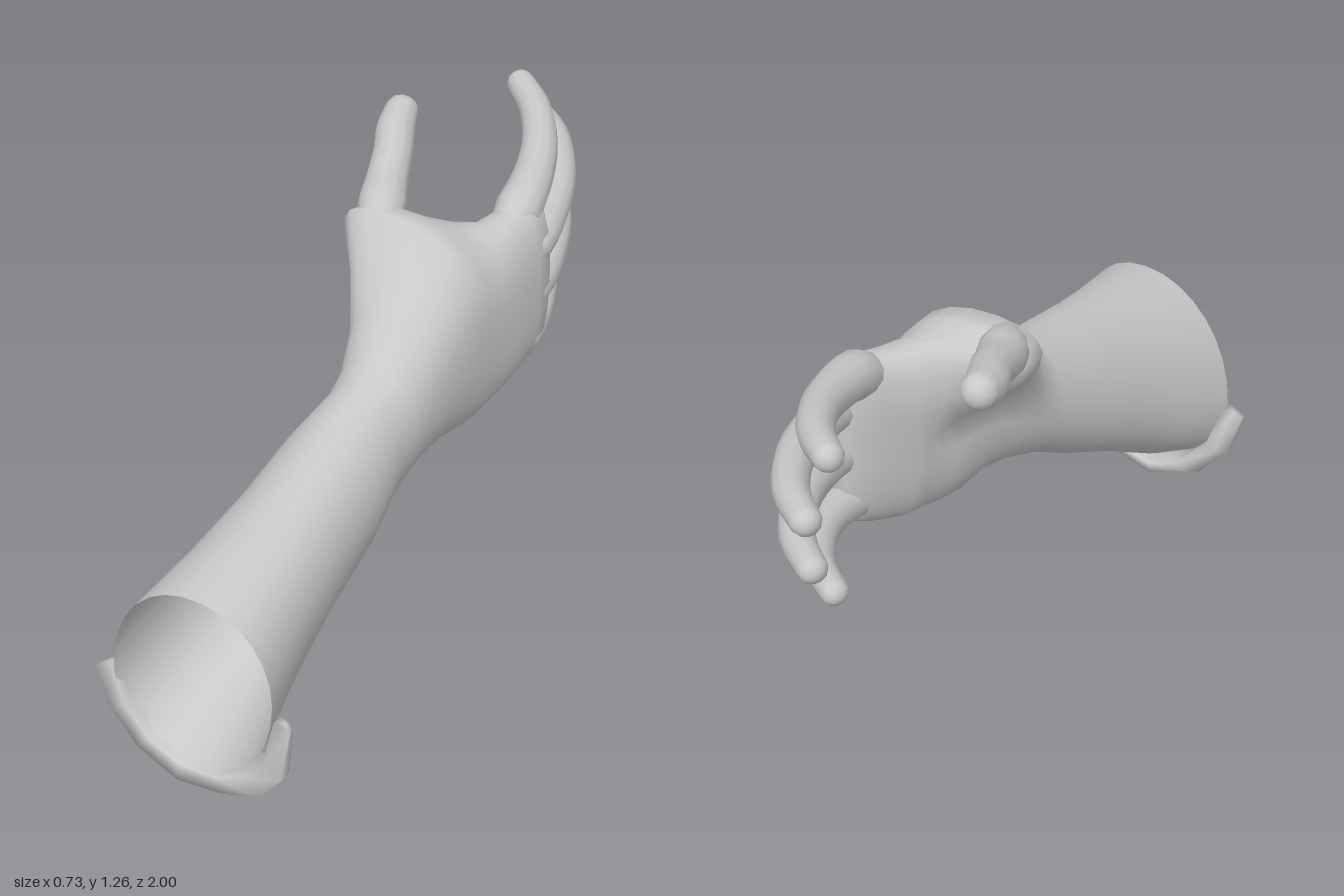
import * as THREE from 'three';

const skin = new THREE.MeshStandardMaterial({ color: 0xc8c8c8, side: THREE.DoubleSide });
skin.name = 'plainGrey';

// Skin a list of rings (equal point counts); optionally close the ends.
function loft(name, rings, capStart, capEnd) {
  const n = rings[0].length, pos = [], idx = [];
  rings.forEach(r => r.forEach(p => pos.push(p.x, p.y, p.z)));
  for (let i = 0; i < rings.length - 1; i++) {
    for (let j = 0; j < n; j++) {
      const a = i * n + j, b = i * n + (j + 1) % n;
      idx.push(a, a + n, b, b, a + n, b + n);
    }
  }
  const cap = (row, flip) => {
    const c = new THREE.Vector3();
    rings[row].forEach(p => c.addScaledVector(p, 1 / n));
    const k = pos.length / 3;
    pos.push(c.x, c.y, c.z);
    for (let j = 0; j < n; j++) {
      const a = row * n + j, b = row * n + (j + 1) % n;
      if (flip) idx.push(k, a, b); else idx.push(k, b, a);
    }
  };
  if (capStart) cap(0, true);
  if (capEnd) cap(rings.length - 1, false);
  const g = new THREE.BufferGeometry();
  g.setAttribute('position', new THREE.Float32BufferAttribute(pos, 3));
  g.setIndex(idx);
  g.computeVertexNormals();
  const mesh = new THREE.Mesh(g, skin);
  mesh.name = name;
  return mesh;
}

// Digit: rounded tube of varying radius along a curve; points are [x, y, z, radius].
function digit(name, points) {
  const curve = new THREE.CatmullRomCurve3(points.map(p => new THREE.Vector3(p[0], p[1], p[2])));
  const up = new THREE.Vector3(0, 1, 0), rings = [], last = points.length - 1, steps = last * 3;
  const ring = (c, dir, r) => {
    const u = dir.clone().cross(up).normalize(), v = u.clone().cross(dir);
    rings.push(Array.from({ length: 12 }, (_, j) => {
      const a = j / 12 * Math.PI * 2;
      return c.clone().addScaledVector(u, r * Math.cos(a)).addScaledVector(v, r * Math.sin(a));
    }));
  };
  for (let i = 0; i <= steps; i++) {
    const t = i / steps, k = Math.min(Math.floor(t * last), last - 1);
    const r = THREE.MathUtils.lerp(points[k][3], points[k + 1][3], t * last - k);
    ring(curve.getPoint(t), curve.getTangent(t), r);
  }
  // Rounded fingertip
  const end = curve.getPoint(1), dir = curve.getTangent(1), r = points[last][3];
  for (const a of [0.5, 0.95, 1.3]) {
    ring(end.clone().addScaledVector(dir, r * 0.8 * Math.sin(a)), dir, r * Math.cos(a));
  }
  return loft(name, rings, true, true);
}

export function createModel() {
  const model = new THREE.Group();
  model.name = 'armAndHand';

  // Hollow forearm and palm:
  // z, centre x, centre y, half width, half height, lean, thumb mound, squareness
  const sections = [
    [1.0, 0.055, 0.375, 0.25, 0.31, 0.06, 0, 0.94],
    [0.8, 0.05, 0.44, 0.21, 0.285, 0.05, 0, 0.96],
    [0.6, 0.052, 0.52, 0.18, 0.25, 0.03, 0, 1],
    [0.4, 0.052, 0.595, 0.162, 0.225, 0.01, 0, 1],
    [0.25, 0.053, 0.657, 0.132, 0.2, 0, 0, 1],
    [0.18, 0.055, 0.69, 0.127, 0.205, 0, 0.02, 1],
    [0.1, 0.062, 0.745, 0.126, 0.228, 0, 0.08, 0.95],
    [0.0, 0.075, 0.8, 0.122, 0.268, 0, 0.22, 0.9],
    [-0.1, 0.083, 0.83, 0.116, 0.318, 0, 0.37, 0.88],
    [-0.16, 0.092, 0.825, 0.108, 0.312, 0, 0.37, 0.86],
    [-0.21, 0.1, 0.813, 0.1, 0.29, 0, 0.26, 0.85],
    [-0.25, 0.104, 0.81, 0.097, 0.28, 0, 0.12, 0.83],
    [-0.3, 0.108, 0.812, 0.095, 0.27, 0, 0.03, 0.8],
    [-0.4, 0.126, 0.84, 0.081, 0.262, 0, 0.01, 0.8],
    [-0.46, 0.136, 0.85, 0.065, 0.24, 0, 0.01, 0.8],
    [-0.495, 0.136, 0.855, 0.035, 0.2, 0, 0, 0.8],
  ];
  const bend = (v, e) => Math.sign(v) * Math.abs(v) ** e;
  model.add(loft('forearmAndPalm', sections.map(([z, cx, cy, a, b, lean, mound, e]) =>
    Array.from({ length: 28 }, (_, j) => {
      const t = j / 28 * Math.PI * 2, c = bend(Math.cos(t), e), s = bend(Math.sin(t), e);
      const x = cx + a * c + lean * s - mound * Math.max(0, s) * (1 - c) / 2;
      return new THREE.Vector3(x, cy + b * s, z);
    })), false, true));

  // Four fingers curling towards the palm side
  model.add(digit('indexFinger', [
    [0.105, 1.0, -0.3, 0.035], [0.108, 1.066, -0.43, 0.066], [0.075, 1.098, -0.56, 0.058],
    [0.022, 1.13, -0.68, 0.051], [-0.065, 1.16, -0.795, 0.046], [-0.16, 1.18, -0.868, 0.04]]));
  model.add(digit('middleFinger', [
    [0.115, 0.92, -0.32, 0.035], [0.147, 0.965, -0.44, 0.061], [0.117, 0.99, -0.59, 0.055],
    [0.057, 1.015, -0.735, 0.051], [-0.05, 1.037, -0.88, 0.046], [-0.16, 1.05, -0.96, 0.04]]));
  model.add(digit('ringFinger', [
    [0.115, 0.8, -0.32, 0.035], [0.147, 0.825, -0.44, 0.061], [0.117, 0.85, -0.59, 0.054],
    [0.057, 0.872, -0.725, 0.05], [-0.05, 0.89, -0.868, 0.045], [-0.16, 0.9, -0.947, 0.039]]));
  model.add(digit('littleFinger', [
    [0.115, 0.665, -0.32, 0.035], [0.135, 0.67, -0.42, 0.061], [0.115, 0.69, -0.54, 0.051],
    [0.06, 0.712, -0.66, 0.046], [-0.035, 0.735, -0.775, 0.042], [-0.135, 0.748, -0.842, 0.037]]));

  // Thumb growing out of its mound
  model.add(digit('thumb', [
    [-0.11, 1.05, -0.08, 0.03], [-0.145, 1.09, -0.13, 0.06], [-0.178, 1.11, -0.19, 0.068],
    [-0.212, 1.133, -0.26, 0.06], [-0.252, 1.17, -0.35, 0.056], [-0.292, 1.19, -0.42, 0.056],
    [-0.318, 1.215, -0.49, 0.048]]));

  // Open cuff wrapped under the forearm: outer x, y then inner x, y
  const cuff = [
    [-0.268, 0.28, -0.212, 0.305], [-0.235, 0.15, -0.178, 0.18], [-0.15, 0.05, -0.105, 0.1],
    [-0.02, 0, -0.005, 0.066], [0.12, 0.033, 0.105, 0.083], [0.25, 0.09, 0.2, 0.137],
    [0.33, 0.2, 0.272, 0.222], [0.365, 0.395, 0.316, 0.4]];
  model.add(loft('cuff', cuff.map(([ox, oy, ix, iy]) => {
    const back = Math.min(0.98, 1 - (0.39 - oy) * 0.31) - 0.01;
    return [
      new THREE.Vector3(ox, oy, 1), new THREE.Vector3(ix, iy, 1), new THREE.Vector3(ix, iy, back),
      new THREE.Vector3((ox + ix) / 2, (oy + iy) / 2, back),
      new THREE.Vector3(ox, oy, (1 + back) / 2)];
  }), true, true));
  return model;
}
